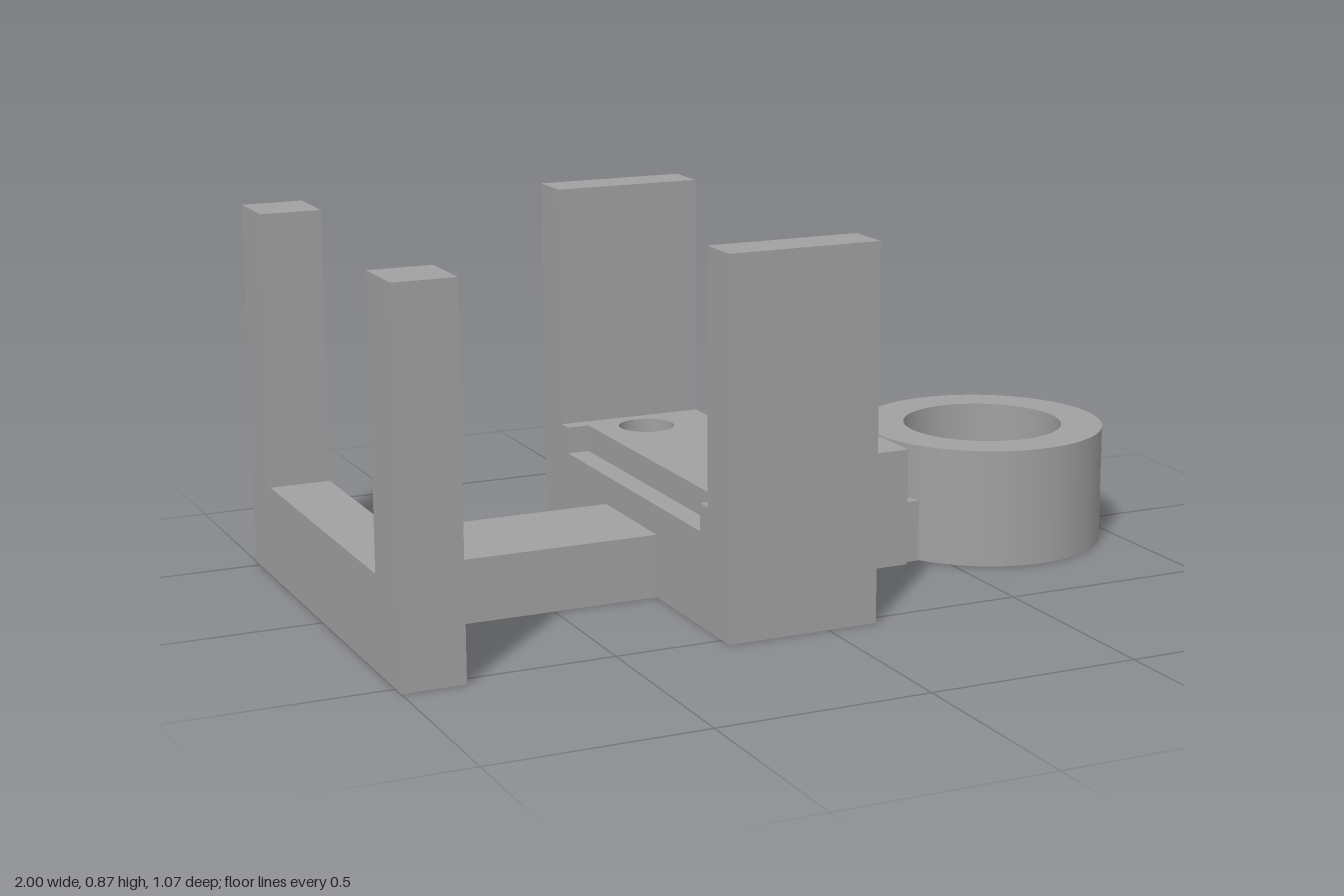
import * as THREE from 'three';
import { toCreasedNormals } from 'three/addons/utils/BufferGeometryUtils.js';

const H = 0.87;      // post height
const BASE = 0.285;  // height of the main base, block and ring
const LOW = 0.22;    // height of the rear crossbar and the ledge
const BEAM = 0.15;   // height of the spine

export function createModel() {
  const model = new THREE.Group();
  model.name = 'bracket';
  const grey = new THREE.MeshStandardMaterial({ color: 0xa0a0a0 });
  grey.name = 'plain grey';

  function add(name, geometry) {
    const mesh = new THREE.Mesh(geometry, grey);
    mesh.name = name;
    model.add(mesh);
    return mesh;
  }

  // box from its limits
  function box(name, x0, x1, y0, y1, z0, z1) {
    const g = new THREE.BoxGeometry(x1 - x0, y1 - y0, z1 - z0);
    g.translate((x0 + x1) / 2, (y0 + y1) / 2, (z0 + z1) / 2);
    return add(name, g);
  }

  // plan outline with holes, raised from y0 to y1
  function slab(name, shape, y0, y1) {
    let g = new THREE.ExtrudeGeometry(shape, { depth: y1 - y0, bevelEnabled: false, curveSegments: 48 });
    g.rotateX(-Math.PI / 2);
    g.translate(0, y0, 0);
    return add(name, toCreasedNormals(g, 0.5));
  }

  const outline = (pts) => new THREE.Shape(pts.map(([x, z]) => new THREE.Vector2(x, z)));
  const rect = (x0, x1, z) => outline([[x0, -z], [x1, -z], [x1, z], [x0, z]]);
  const circle = (x, z, r) => new THREE.Path().absarc(x, z, r, 0, Math.PI * 2, true);
  const hexagon = (x, z, r) => new THREE.Path(Array.from({ length: 6 }, (_, i) => {
    const a = -i * Math.PI / 3;
    return new THREE.Vector2(x + r * Math.cos(a), z + r * Math.sin(a));
  }));

  // rear U frame, one profile extruded along x
  const u = outline([[-0.535, 0], [0.535, 0], [0.535, H], [0.385, H],
    [0.385, LOW], [-0.385, LOW], [-0.385, H], [-0.535, H]]);
  const rear = new THREE.ExtrudeGeometry(u, { depth: 0.145, bevelEnabled: false });
  rear.rotateY(Math.PI / 2);
  rear.translate(-1, 0, 0);
  add('rearFrame', rear);

  // spine in sections between the larger parts
  box('rearSpine', -0.855, -0.245, 0, BEAM, -0.147, 0.147);
  box('frontSpine', 0.12, 0.165, 0, BEAM, -0.147, 0.147);
  box('ringNeck', 0.405, 0.445, 0, BEAM, -0.147, 0.147);

  // main base: nut pockets below, bolt holes above, ledge cut in the rear edge
  const pockets = rect(-0.245, 0.12, 0.535);
  const middle = rect(-0.245, 0.12, 0.535);
  const upper = outline([[-0.245, -0.535], [0.12, -0.535], [0.12, 0.535], [-0.245, 0.535],
    [-0.245, 0.385], [-0.19, 0.385], [-0.19, -0.385], [-0.245, -0.385]]);
  for (const z of [-0.325, 0.325]) {
    pockets.holes.push(hexagon(-0.06, z, 0.125));
    middle.holes.push(circle(-0.06, z, 0.068));
    upper.holes.push(circle(-0.06, z, 0.068));
  }
  slab('baseNutPockets', pockets, 0, 0.1);
  slab('baseMiddle', middle, 0.1, LOW);
  slab('baseTop', upper, LOW, BASE);

  // wide posts
  box('leftPost', -0.245, 0.12, BASE, H, 0.425, 0.535);
  box('rightPost', -0.245, 0.12, BASE, H, -0.535, -0.425);

  // block with a blind round socket
  const block = rect(0.165, 0.405, 0.164);
  block.holes.push(circle(0.285, 0, 0.083));
  box('blockFloor', 0.165, 0.405, 0, BEAM, -0.164, 0.164);
  slab('blockSocket', block, BEAM, BASE);

  // ring
  const ring = new THREE.Shape().absarc(0.705, 0, 0.295, 0, Math.PI * 2, false);
  ring.holes.push(circle(0.705, 0, 0.195));
  slab('ring', ring, 0, BASE);

  return model;
}
